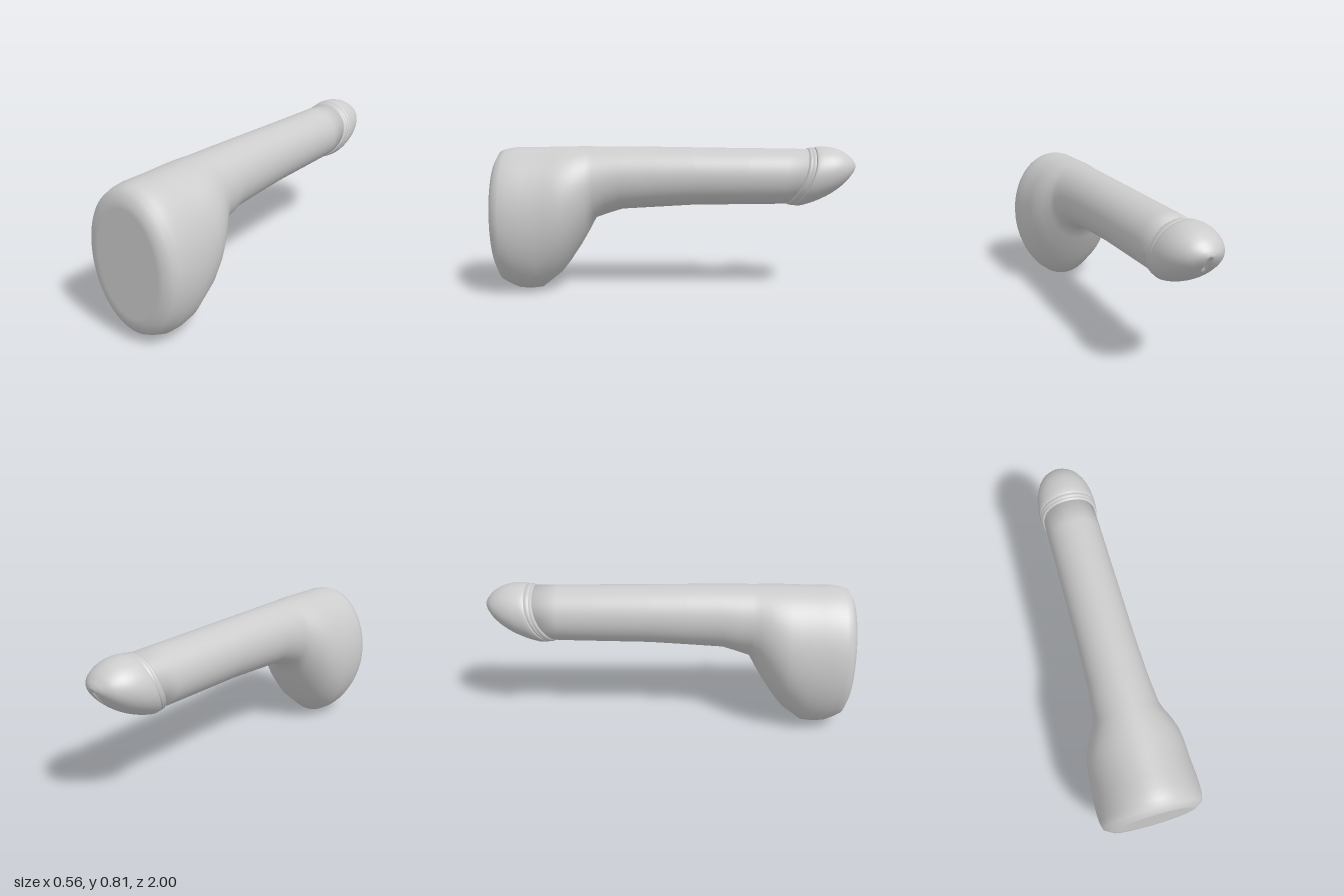
import * as THREE from 'three';

const SEGMENTS = 72;
const material = new THREE.MeshStandardMaterial({ color: 0xcccccc, roughness: 0.7 });

// Smoothly resample a list of six-number sections
function resample(sections, rows) {
  const curve = (k) => new THREE.CatmullRomCurve3(
    sections.map((s) => new THREE.Vector3(s[k], s[k + 1], s[k + 2])), false, 'catmullrom', 0.5);
  const a = curve(0), b = curve(3), out = [];
  for (let i = 0; i <= rows; i++) {
    out.push([...a.getPoint(i / rows).toArray(), ...b.getPoint(i / rows).toArray()]);
  }
  return out;
}

// Loft elliptical sections [zTop, yTop, zBottom, yBottom, halfWidth, sideBow] from +z to -z
function loft(sections, deform = (p) => p) {
  const pos = [], index = [], p = new THREE.Vector3();
  const add = () => { deform(p); pos.push(p.x, p.y, p.z); };
  for (const [zT, yT, zB, yB, w, bow] of sections) {
    for (let i = 0; i < SEGMENTS; i++) {
      const a = (i / SEGMENTS) * Math.PI * 2, c = Math.cos(a), s = Math.sin(a);
      p.set(w * s, (yT + yB) / 2 + ((yT - yB) / 2) * c, (zT + zB) / 2 + ((zT - zB) / 2) * c + bow * s * s);
      add();
    }
  }
  const last = sections.length - 1, first = sections.length * SEGMENTS;
  for (const s of [sections[0], sections[last]]) {
    p.set(0, (s[1] + s[3]) / 2, (s[0] + s[2]) / 2);
    add();
  }
  for (let i = 0; i < SEGMENTS; i++) {
    const j = (i + 1) % SEGMENTS;
    for (let r = 0; r < last; r++) {
      const a = r * SEGMENTS + i, b = r * SEGMENTS + j;
      index.push(a, b, a + SEGMENTS, b, b + SEGMENTS, a + SEGMENTS);
    }
    index.push(first, j, i, first + 1, last * SEGMENTS + i, last * SEGMENTS + j);
  }
  const geo = new THREE.BufferGeometry();
  geo.setAttribute('position', new THREE.Float32BufferAttribute(pos, 3));
  geo.setIndex(index);
  geo.computeVertexNormals();
  return geo;
}

export function createModel() {
  const group = new THREE.Group();
  const addPart = (name, geometry) => {
    const mesh = new THREE.Mesh(geometry, material);
    mesh.name = name;
    group.add(mesh);
  };

  // Flat-ended oval base flowing into the long shaft: [z, top, bottom, halfWidth]
  const body = [
    [1, 0.7, 0.14, 0.19], [1, 0.74, 0.1, 0.225], [0.975, 0.785, 0.05, 0.265],
    [0.94, 0.797, 0.03, 0.275], [0.89, 0.805, 0.006, 0.278], [0.83, 0.805, 0, 0.277],
    [0.76, 0.806, 0.008, 0.272], [0.7, 0.807, 0.055, 0.268], [0.65, 0.808, 0.095, 0.264],
    [0.6, 0.809, 0.16, 0.253], [0.54, 0.81, 0.25, 0.225], [0.49, 0.81, 0.335, 0.192],
    [0.45, 0.81, 0.41, 0.174], [0.38, 0.81, 0.435, 0.168], [0.3, 0.81, 0.46, 0.16],
    [0.1, 0.808, 0.472, 0.154], [-0.1, 0.805, 0.484, 0.152], [-0.4, 0.801, 0.488, 0.15],
    [-0.6, 0.799, 0.491, 0.149],
  ].map(([z, top, bottom, w]) => [z, top, z, bottom, w, 0]);
  body.push([-0.76, 0.796, -0.64, 0.495, 0.147, -0.03]);
  addPart('baseAndShaft', loft(body));

  // Slanted collar with two fine grooves
  addPart('collar', loft([
    [-0.725, 0.79, -0.615, 0.498, 0.145, -0.03],
    [-0.732, 0.802, -0.622, 0.489, 0.156, -0.03],
    [-0.742, 0.804, -0.632, 0.486, 0.159, -0.03],
    [-0.746, 0.798, -0.636, 0.491, 0.153, -0.03],
    [-0.75, 0.805, -0.64, 0.485, 0.16, -0.03],
    [-0.764, 0.806, -0.651, 0.484, 0.162, -0.03],
    [-0.768, 0.798, -0.655, 0.49, 0.154, -0.03],
    [-0.775, 0.798, -0.662, 0.49, 0.154, -0.03],
  ]));

  // Rounded tip with a small vertical slit
  const tip = resample([
    [-0.768, 0.798, -0.655, 0.49, 0.154, -0.03],
    [-0.776, 0.807, -0.662, 0.483, 0.162, -0.03],
    [-0.81, 0.811, -0.7, 0.484, 0.162, -0.028],
    [-0.86, 0.806, -0.78, 0.51, 0.153, -0.022],
    [-0.91, 0.791, -0.86, 0.55, 0.132, -0.015],
    [-0.955, 0.764, -0.925, 0.6, 0.099, -0.01],
    [-0.985, 0.732, -0.97, 0.65, 0.056, -0.004],
    [-0.996, 0.712, -0.992, 0.683, 0.022, -0.001],
    [-0.999, 0.699, -0.999, 0.697, 0.002, 0],
  ], 72);
  addPart('roundedTip', loft(tip, (p) => {
    if (p.z < -0.88) {
      p.z += 0.022 * Math.exp(-((p.x / 0.009) ** 2) - ((p.y - 0.655) / 0.035) ** 4);
    }
    return p;
  }));

  return group;
}
